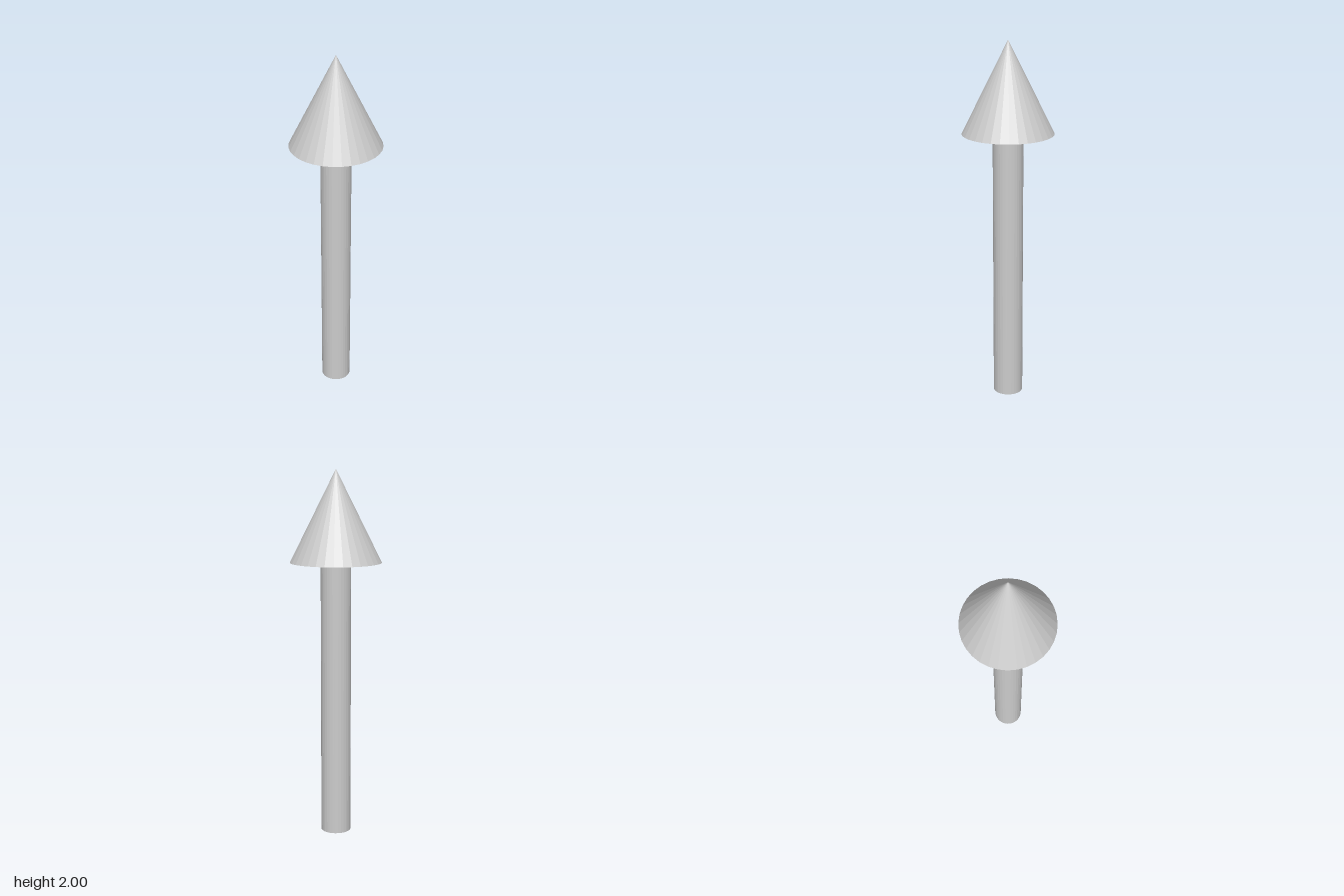
import * as THREE from 'three';

const SIDES = 32;
const HEIGHT = 2;
const HEAD_BASE = 1.507; // height where the shaft meets the head

export function createModel() {
  const model = new THREE.Group();
  model.name = 'arrow';
  const material = new THREE.MeshStandardMaterial({ color: 0xcccccc, flatShading: true });

  const addPart = (name, geometry, y) => {
    const mesh = new THREE.Mesh(geometry, material);
    mesh.name = name;
    mesh.position.y = y;
    model.add(mesh);
  };

  // Straight round shaft standing on the ground
  addPart('shaft', new THREE.CylinderGeometry(0.082, 0.082, HEAD_BASE, SIDES), HEAD_BASE / 2);

  // Pointed head with a closed, flat underside
  const headHeight = HEIGHT - HEAD_BASE;
  addPart('head', new THREE.ConeGeometry(0.247, headHeight, SIDES), HEAD_BASE + headHeight / 2);

  return model;
}
